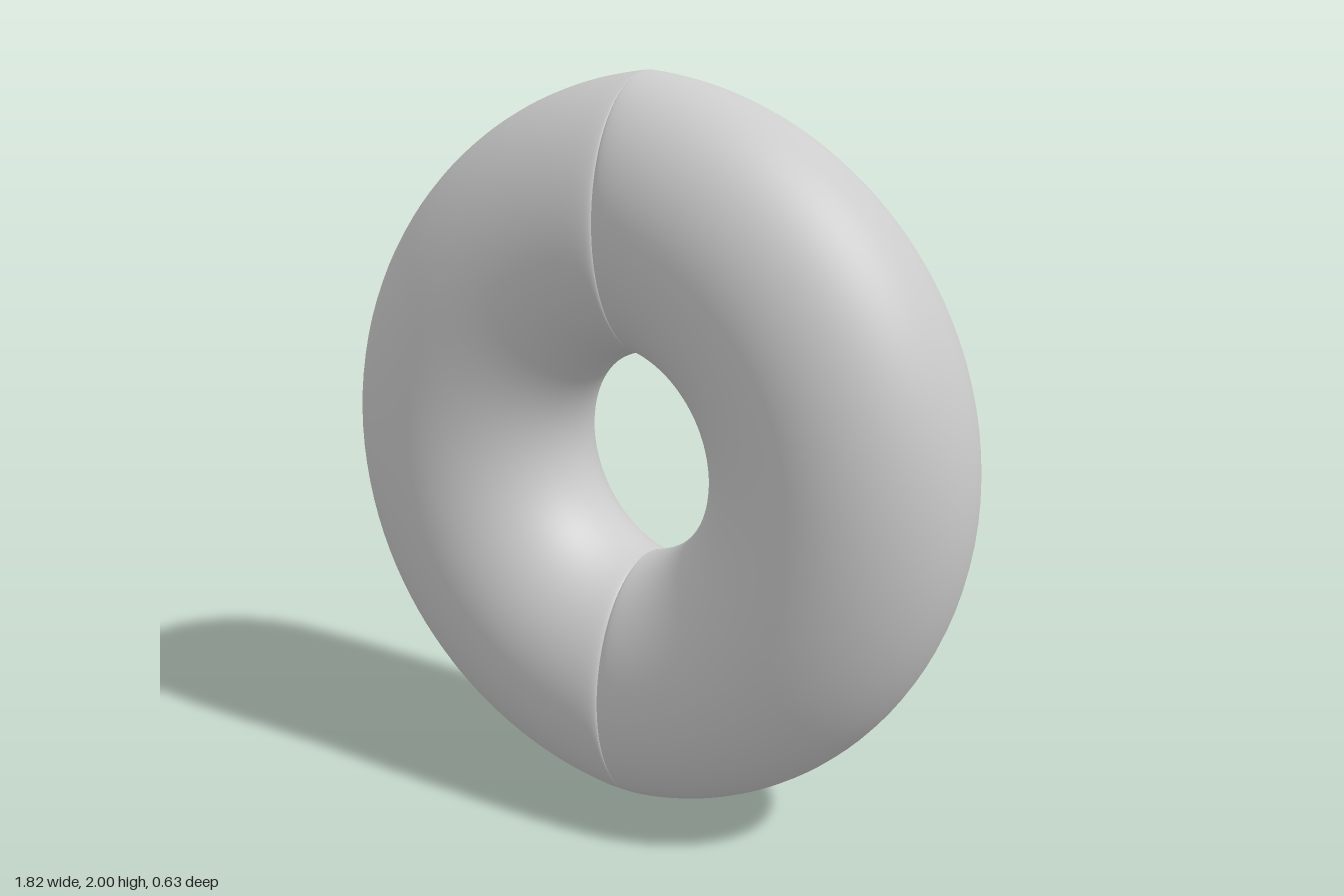
import * as THREE from 'three';

const STEPS = 120, SIDES = 72;

// Distance from the ring's centre to a circle of radius r centred at x = -c
function reach(r, c, a) {
  return -c * Math.cos(a) + Math.sqrt(r * r - (c * Math.sin(a)) ** 2);
}

// Half ring on the +x side: elliptical sections swept from bottom to top
function halfRing() {
  const pos = [], index = [];
  for (let i = 0; i <= STEPS; i++) {
    // sections crowd together towards the pinched seam
    const u = Math.sin((i / STEPS - 0.5) * Math.PI);
    const a = Math.sin(u * Math.PI / 2) * Math.PI / 2;
    const outer = reach(1.005, 0.097, a), inner = reach(0.291, 0.061, a);
    const mid = (outer + inner) / 2, half = (outer - inner) / 2;
    const depth = 0.261 + 0.055 * Math.pow(Math.max(0, Math.cos(a)), 0.4);
    for (let j = 0; j < SIDES; j++) {
      const t = j / SIDES * Math.PI * 2;
      const d = mid + half * Math.cos(t);
      pos.push(d * Math.cos(a), d * Math.sin(a), depth * Math.sin(t));
      if (i < STEPS) {
        const k = (j + 1) % SIDES;
        const p = i * SIDES + j, q = i * SIDES + k;
        index.push(p, p + SIDES, q, q, p + SIDES, q + SIDES);
      }
    }
  }
  const g = new THREE.BufferGeometry();
  g.setAttribute('position', new THREE.Float32BufferAttribute(pos, 3));
  // corners run counter-clockwise seen from outside
  for (let i = 0; i < index.length; i += 3) {
    [index[i + 1], index[i + 2]] = [index[i + 1], index[i + 2]];
  }
  g.setIndex(index);
  g.computeVertexNormals();
  return g;
}

export function createModel() {
  const model = new THREE.Group();
  model.name = 'ring';
  const material = new THREE.MeshStandardMaterial({ color: 0xcccccc, side: THREE.DoubleSide });
  const geometry = halfRing();
  // the two halves meet in a crease at x = 0
  ['leftHalf', 'rightHalf'].forEach((name, i) => {
    const mesh = new THREE.Mesh(geometry, material);
    mesh.name = name;
    mesh.position.y = 1;
    mesh.rotation.y = i * Math.PI;
    model.add(mesh);
  });
  return model;
}
